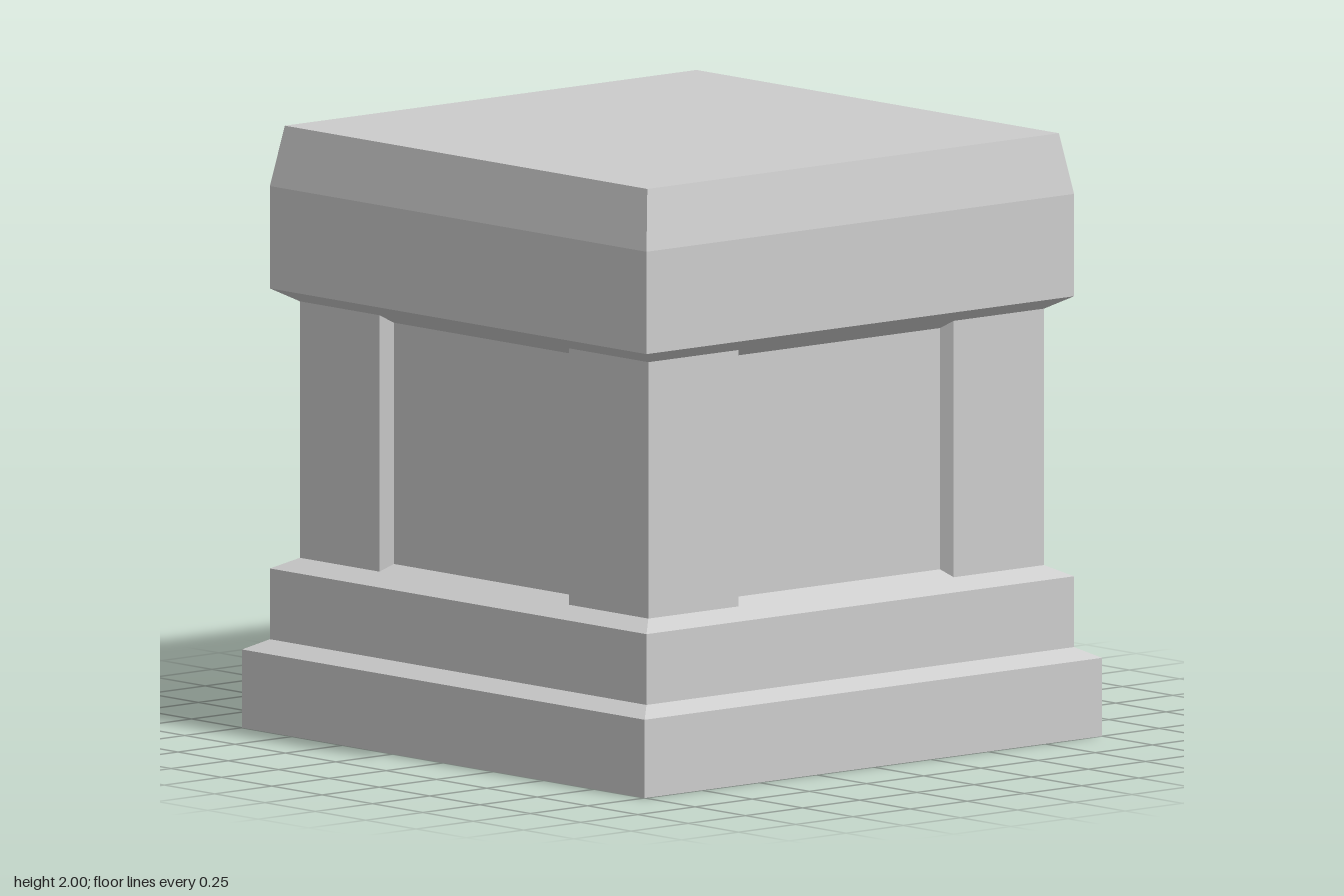
import * as THREE from 'three';

const material = new THREE.MeshStandardMaterial({ color: 0xcccccc, flatShading: true });

// Square ring at height y with half-width r, its centre shifted by (cx, cz)
const ring = (r, y, cx = 0, cz = 0) =>
  [[1, 1], [1, -1], [-1, -1], [-1, 1]].map(([sx, sz]) => [cx + sx * r, y, cz + sz * r]);

// Stack of square rings from bottom to top, with optional end faces
function squareLoft(name, rings, capBottom, capTop) {
  const positions = [];
  const quad = (a, b, c, d) => positions.push(...a, ...b, ...c, ...a, ...c, ...d);
  for (let i = 0; i < rings.length - 1; i++) {
    for (let k = 0; k < 4; k++) {
      const n = (k + 1) % 4;
      quad(rings[i][k], rings[i][n], rings[i + 1][n], rings[i + 1][k]);
    }
  }
  if (capBottom) quad(...[...rings[0]].reverse());
  if (capTop) quad(...rings[rings.length - 1]);
  const geometry = new THREE.BufferGeometry();
  geometry.setAttribute('position', new THREE.Float32BufferAttribute(positions, 3));
  geometry.computeVertexNormals();
  const mesh = new THREE.Mesh(geometry, material);
  mesh.name = name;
  return mesh;
}

// Square shaft with a shallow, bevelled recess on each of its four sides
function recessedShaft() {
  const outer = 0.865, inner = 0.82;
  const side = [[outer, -outer], [outer, -0.47], [inner, -0.45], [inner, 0.45], [outer, 0.47]];
  const points = [];
  for (let k = 0; k < 4; k++) {
    for (const [x, y] of side) {
      points.push(new THREE.Vector2(x, y).rotateAround(new THREE.Vector2(), k * Math.PI / 2));
    }
  }
  const bottom = 0.55, top = 1.43;
  const geometry = new THREE.ExtrudeGeometry(new THREE.Shape(points), {
    depth: top - bottom, bevelEnabled: false,
  });
  geometry.rotateX(-Math.PI / 2).translate(0, bottom, 0);
  const mesh = new THREE.Mesh(geometry, material);
  mesh.name = 'shaft';
  return mesh;
}

export function createModel() {
  const model = new THREE.Group();
  model.name = 'pedestal';

  // Stepped base; its last slope runs in to the recessed panels
  model.add(squareLoft('base', [
    ring(1, 0), ring(1, 0.26), ring(0.935, 0.295), ring(0.935, 0.53), ring(0.81, 0.595),
  ], true, false));

  model.add(recessedShaft());

  // Overhanging cap with a chamfered top, very slightly off centre
  model.add(squareLoft('cap', [
    ring(0.81, 1.385), ring(0.935, 1.46), ring(0.935, 1.8), ring(0.9, 2, -0.005, -0.004),
  ], false, true));

  return model;
}
